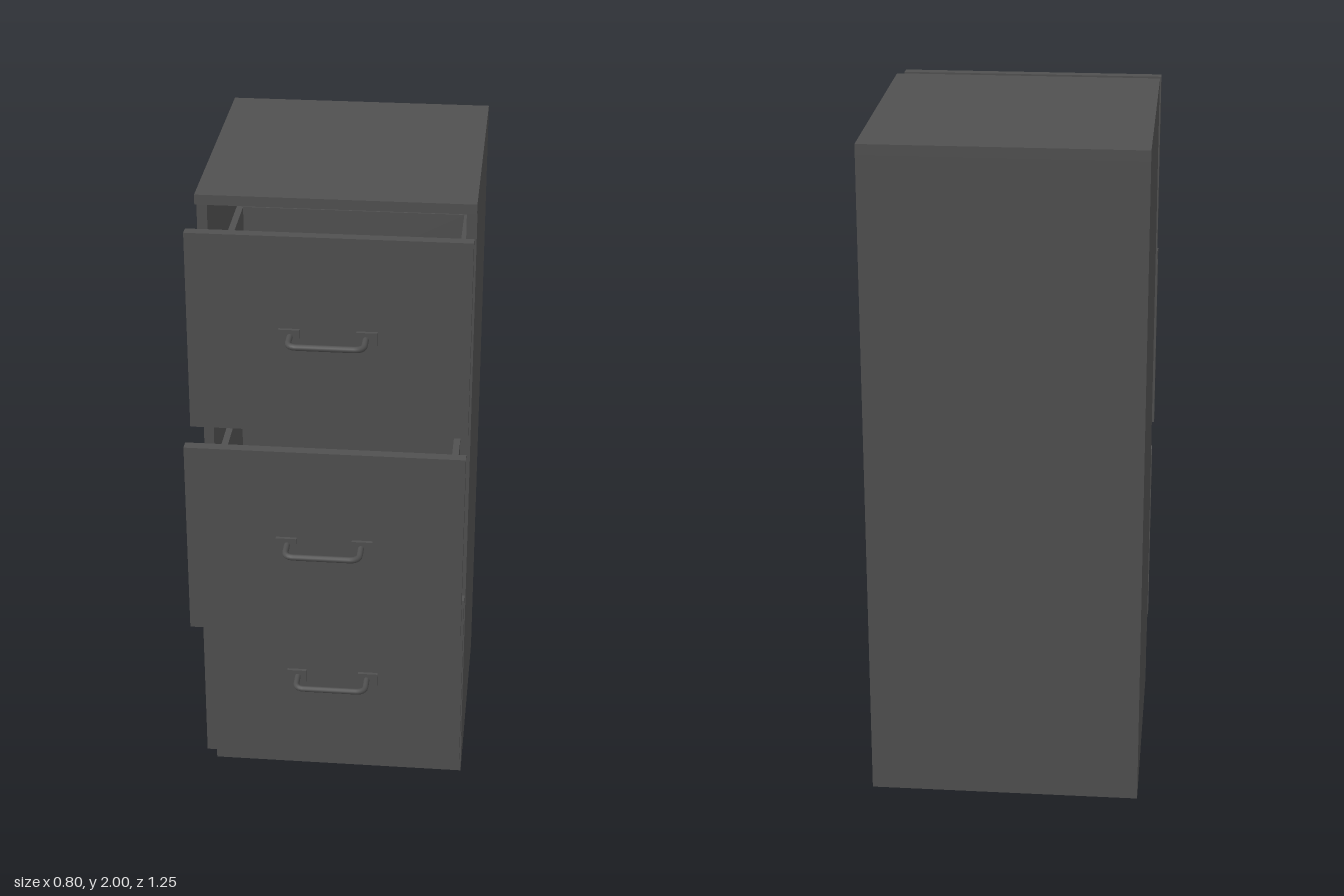
import * as THREE from 'three';

const charcoal = new THREE.MeshStandardMaterial({ color: 0x505050 });
charcoal.name = 'charcoal';

// Box given by its minimum and maximum corners
function slab(parent, name, [x0, y0, z0], [x1, y1, z1]) {
  const mesh = new THREE.Mesh(new THREE.BoxGeometry(x1 - x0, y1 - y0, z1 - z0), charcoal);
  mesh.position.set((x0 + x1) / 2, (y0 + y1) / 2, (z0 + z1) / 2);
  mesh.name = name;
  parent.add(mesh);
  return mesh;
}

// Hollow carcass with a recessed plinth and an overhanging top
function createCabinet() {
  const cabinet = new THREE.Group();
  cabinet.name = 'cabinet';
  slab(cabinet, 'plinth', [-0.4, 0, -0.625], [0.4, 0.16, 0.13]);
  slab(cabinet, 'top', [-0.4, 1.97, -0.625], [0.4, 2, 0.21]);
  slab(cabinet, 'backPanel', [-0.37, 0.16, -0.625], [0.37, 1.97, -0.595]);
  slab(cabinet, 'leftPanel', [0.37, 0.16, -0.625], [0.4, 1.97, 0.175]);
  slab(cabinet, 'rightPanel', [-0.4, 0.16, -0.625], [-0.37, 1.97, 0.175]);
  return cabinet;
}

// Bent bar on two mounting plates; z = 0 is the drawer face
function createHandle() {
  const handle = new THREE.Group();
  handle.name = 'handle';
  const w = 0.107, d = 0.077, r = 0.028;
  const v = (x, z) => new THREE.Vector3(x, 0, z);
  const path = new THREE.CurvePath();
  path.add(new THREE.LineCurve3(v(-w, 0), v(-w, d - r)));
  path.add(new THREE.QuadraticBezierCurve3(v(-w, d - r), v(-w, d), v(-w + r, d)));
  path.add(new THREE.LineCurve3(v(-w + r, d), v(w - r, d)));
  path.add(new THREE.QuadraticBezierCurve3(v(w - r, d), v(w, d), v(w, d - r)));
  path.add(new THREE.LineCurve3(v(w, d - r), v(w, 0)));
  const bar = new THREE.Mesh(new THREE.TubeGeometry(path, 48, 0.009, 12), charcoal);
  bar.name = 'handleBar';
  handle.add(bar);
  for (const s of [-1, 1]) {
    slab(handle, 'handlePlate', [s * 0.11 - 0.03, -0.021, 0], [s * 0.11 + 0.03, 0.021, 0.01]);
  }
  return handle;
}

// Open-topped drawer; origin at the bottom of the front panel's outer face
function createDrawer() {
  const drawer = new THREE.Group();
  const w = 0.363, t = 0.02, low = 0.02, high = 0.375, front = -0.032, back = -0.785;
  slab(drawer, 'drawerFront', [-0.4, 0, front], [0.4, 0.6, 0]);
  slab(drawer, 'drawerFloor', [-w + t, low, back + t], [w - t, low + t, front - t]);
  slab(drawer, 'drawerInnerFront', [-w + t, low, front - t], [w - t, high, front]);
  slab(drawer, 'drawerBack', [-w + t, low, back], [w - t, high, back + t]);
  slab(drawer, 'drawerLeftSide', [w - t, low, back], [w, high, front]);
  slab(drawer, 'drawerRightSide', [-w, low, back], [-w + t, high, front]);
  const handle = createHandle();
  handle.position.y = 0.302;
  drawer.add(handle);
  return drawer;
}

export function createModel() {
  const model = new THREE.Group();
  model.name = 'filingCabinet';
  model.add(createCabinet());
  // Each drawer is pulled out by a different amount
  const drawers = [
    ['bottomDrawer', 0.16, 0.31],
    ['middleDrawer', 0.763, 0.535],
    ['topDrawer', 1.366, 0.41],
  ];
  for (const [name, y, z] of drawers) {
    const drawer = createDrawer();
    drawer.name = name;
    drawer.position.set(0, y, z);
    model.add(drawer);
  }
  return model;
}
